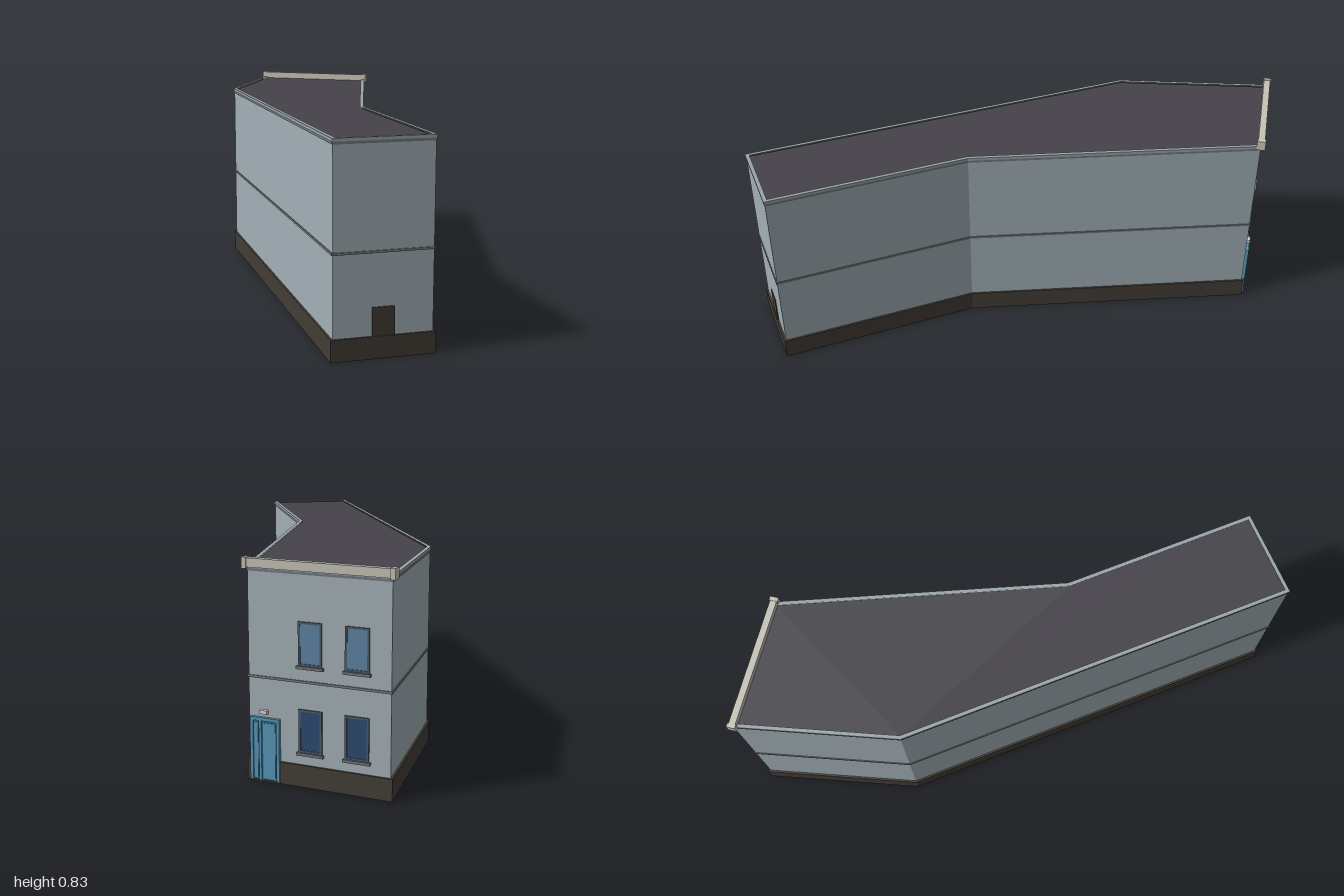
import * as THREE from 'three';

const COLORS = {
  wall: 0xa3b0b7, plinth: 0x433d36, roof: 0x454349, coping: 0x9aa5aa, belt: 0x707a80,
  cornice: 0xc6c2b6, frame: 0x4a5a68, glassUpper: 0x5f83a3, glassLower: 0x2b4a70,
  sill: 0x6d7376, door: 0x5796b8, doorDark: 0x35688a, lamp: 0xd8d6cc,
};
const mats = {};
for (const k in COLORS) mats[k] = new THREE.MeshStandardMaterial({ color: COLORS[k] });

// Outer footprint as [x, z]: street wall first, then round the building
const FOOT = [[-0.865, -0.89], [-0.305, -0.988], [0.262, 0.115], [0.865, 0.717], [0.587, 0.995], [-0.643, -0.24]];

// Footprint moved inward by d with mitred corners
function inset(d) {
  const n = FOOT.length;
  const normal = (i) => {
    const a = FOOT[i % n], b = FOOT[(i + 1) % n];
    const l = Math.hypot(b[0] - a[0], b[1] - a[1]);
    return [-(b[1] - a[1]) / l, (b[0] - a[0]) / l];
  };
  return FOOT.map((p, i) => {
    const u = normal(i + n - 1), v = normal(i);
    const k = d / (1 + u[0] * v[0] + u[1] * v[1]);
    return [p[0] + (u[0] + v[0]) * k, p[1] + (u[1] + v[1]) * k];
  });
}

const outline = (pts) => pts.map(([x, z]) => new THREE.Vector2(x, -z));

// Upright prism (or ring, when an inner inset is given) between two heights
function prism(name, mat, outer, y0, y1, inner) {
  const shape = new THREE.Shape(outline(inset(outer)));
  if (inner !== undefined) shape.holes.push(new THREE.Path(outline(inset(inner))));
  const geo = new THREE.ExtrudeGeometry(shape, { depth: y1 - y0, bevelEnabled: false });
  geo.rotateX(-Math.PI / 2).translate(0, y0, 0);
  const mesh = new THREE.Mesh(geo, mat);
  mesh.name = name;
  return mesh;
}

// Box given by its extents on a wall: x along, y up, z outward
function block(parent, name, mat, x0, x1, y0, y1, z0, z1) {
  const mesh = new THREE.Mesh(new THREE.BoxGeometry(x1 - x0, y1 - y0, z1 - z0), mat);
  mesh.position.set((x0 + x1) / 2, (y0 + y1) / 2, (z0 + z1) / 2);
  mesh.name = name;
  parent.add(mesh);
}

// Group whose x axis runs along a wall, left to right as seen from outside
function wallGroup(name, from, to) {
  const g = new THREE.Group();
  g.name = name;
  g.position.set(from[0], 0, from[1]);
  g.rotation.y = Math.atan2(from[1] - to[1], to[0] - from[0]);
  g.userData.length = Math.hypot(to[0] - from[0], to[1] - from[1]);
  return g;
}

function addWindow(parent, x, y, glass) {
  const w = 0.092, h = 0.16, t = 0.008;
  const g = new THREE.Group();
  g.name = 'window';
  g.position.set(x, y, 0);
  block(g, 'windowGlass', glass, 0, w, 0, h, -0.01, 0.002);
  for (const s of [0, w - t]) block(g, 'windowFrameSide', mats.frame, s, s + t, 0, h, -0.01, 0.005);
  for (const s of [0, h - t]) block(g, 'windowFrameRail', mats.frame, t, w - t, s, s + t, -0.01, 0.005);
  block(g, 'windowSill', mats.sill, -0.006, w + 0.006, -0.011, 0, -0.01, 0.012);
  parent.add(g);
}

export function createModel() {
  const model = new THREE.Group();
  model.name = 'building';
  const WALL = 0.008;

  // Main shell
  model.add(
    prism('walls', mats.wall, WALL, 0, 0.782, undefined),
    prism('plinth', mats.plinth, 0, 0, 0.083, WALL + 0.002),
    prism('beltCourse', mats.belt, 0.004, 0.387, 0.396, WALL + 0.002),
    prism('copingUnderside', mats.belt, 0.006, 0.776, 0.786, WALL + 0.004),
    prism('coping', mats.coping, 0.004, 0.786, 0.798, 0.02),
    prism('roof', mats.roof, 0.018, 0.781, 0.792, undefined),
  );

  // Street facade with windows, door and cornice
  const corners = inset(WALL);
  const facade = wallGroup('streetFacade', corners[1], corners[0]);
  const L = facade.userData.length;
  for (const x of [0.2, 0.38]) {
    addWindow(facade, x, 0.45, mats.glassUpper);
    addWindow(facade, x, 0.13, mats.glassLower);
  }
  block(facade, 'doorPanel', mats.doorDark, 0.012, 0.122, 0.006, 0.236, -0.01, 0.009);
  for (const [a, b] of [[0.008, 0.02], [0.044, 0.054], [0.115, 0.126]])
    block(facade, 'doorPost', mats.door, a, b, 0.004, 0.24, -0.01, 0.013);
  block(facade, 'doorLeaf', mats.door, 0.06, 0.11, 0.012, 0.222, -0.01, 0.011);
  block(facade, 'doorSideLeaf', mats.door, 0.024, 0.04, 0.012, 0.222, -0.01, 0.011);
  block(facade, 'doorHead', mats.door, 0.008, 0.126, 0.23, 0.242, -0.01, 0.013);
  block(facade, 'doorStep', mats.plinth, 0.006, 0.128, 0, 0.006, -0.01, 0.014);
  block(facade, 'doorLamp', mats.lamp, 0.048, 0.078, 0.256, 0.27, -0.005, 0.014);
  block(facade, 'cornice', mats.cornice, -0.006, L + 0.006, 0.79, 0.823, -0.014, 0.014);
  for (const x of [-0.015, L - 0.003])
    block(facade, 'corniceEnd', mats.cornice, x, x + 0.018, 0.785, 0.826, -0.018, 0.018);
  model.add(facade);

  // Far end wall with its service door
  const end = wallGroup('endWall', corners[4], corners[3]);
  const mid = end.userData.length / 2;
  block(end, 'serviceDoor', mats.plinth, mid - 0.042, mid + 0.042, 0.07, 0.19, -0.01, 0.004);
  model.add(end);

  return model;
}
